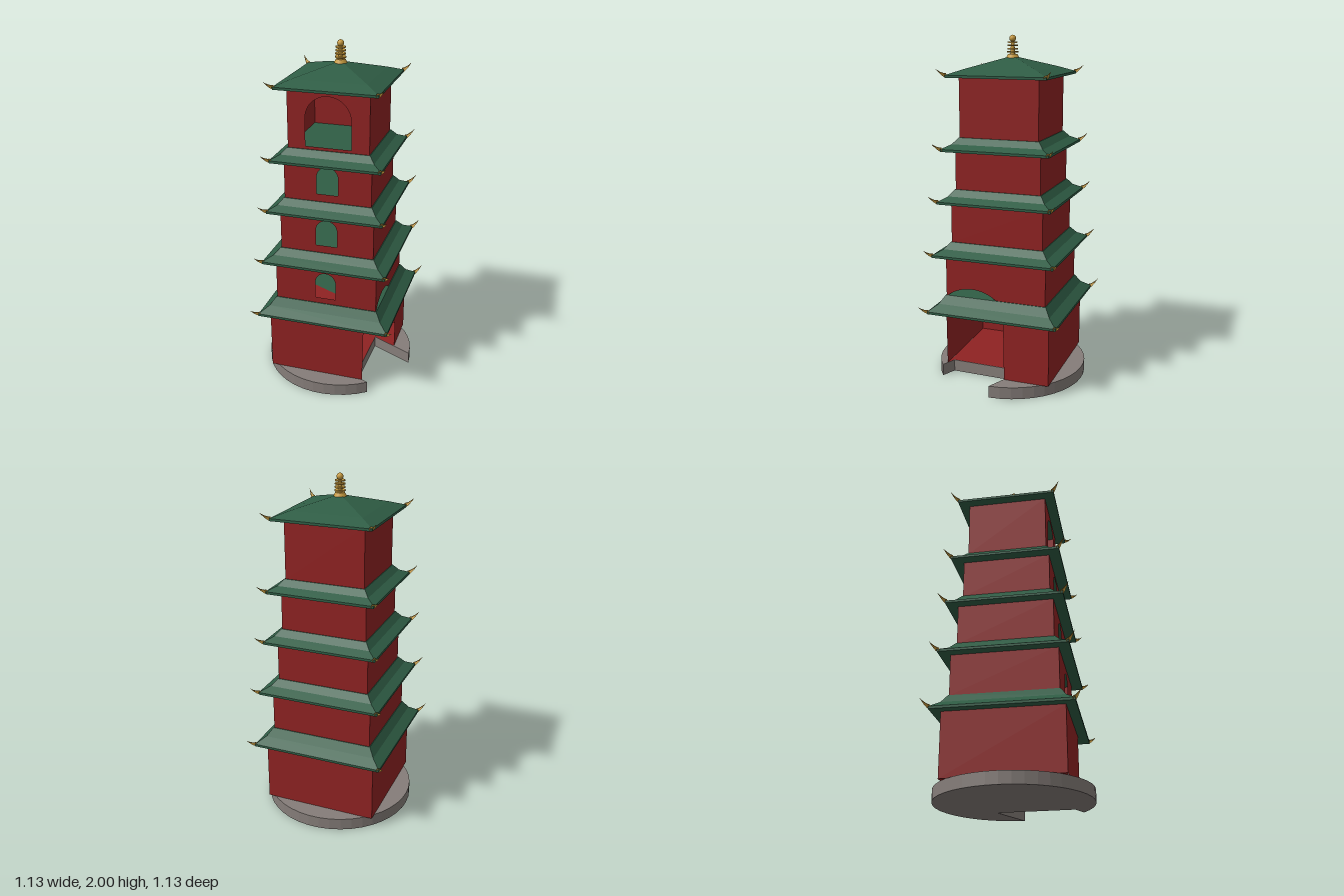
import * as THREE from 'three';

const TURN = 0.4425; // the tower stands turned on its base
const S = Math.sin(TURN), C = Math.cos(TURN);

function material(name, color, open) {
  const m = new THREE.MeshStandardMaterial({ color });
  m.name = name;
  if (open) m.side = THREE.DoubleSide;
  return m;
}

// Storeys: corner radius, bottom, top, window half width, window sill
const STOREYS = [
  { r: 0.47, y0: 0.07, y1: 0.43 },
  { r: 0.423, y0: 0.53, y1: 0.775, win: 0.06, sill: 0.565, head: 0.725 },
  { r: 0.385, y0: 0.84, y1: 1.075, win: 0.062, sill: 0.89, head: 1.045 },
  { r: 0.355, y0: 1.145, y1: 1.375, win: 0.062, sill: 1.195, head: 1.355 },
  { r: 0.327, y0: 1.44, y1: 1.78, win: 0.13, sill: 1.46, head: 1.745 },
];
// Roofs: eave corner radius, underside, top
const ROOFS = [
  { r: 0.547, y0: 0.43, y1: 0.53 },
  { r: 0.51, y0: 0.765, y1: 0.845 },
  { r: 0.472, y0: 1.073, y1: 1.15 },
  { r: 0.446, y0: 1.37, y1: 1.443 },
  { r: 0.41, y0: 1.775, y1: 1.885 },
];

export function createModel() {
  const red = material('red walls', 0x8f2222, true);
  const green = material('green roof tiles', 0x2f5d45);
  const gold = material('gold ornaments', 0xc79a3e);
  const stone = material('grey stone', 0x857d79);

  const model = new THREE.Group();
  model.name = 'pagoda';
  const tower = new THREE.Group();
  tower.name = 'tower';
  tower.rotation.y = TURN;
  model.add(tower);

  const add = (parent, name, geometry, mat) => {
    const mesh = new THREE.Mesh(geometry, mat);
    mesh.name = name;
    parent.add(mesh);
    return mesh;
  };
  const flat = (g) => {
    const out = g.toNonIndexed();
    out.computeVertexNormals();
    return out;
  };
  // Flat outline of (x, z) points laid level
  const levelShape = (pts) =>
    new THREE.Shape(pts.map(([x, z]) => new THREE.Vector2(x, -z)));

  // Round stone base with an entrance notch
  const a0 = Math.asin(0.2 / 0.44);
  const rim = [];
  for (let i = 0; i <= 36; i++) {
    const a = a0 + (i / 36) * (2 * Math.PI - 2 * a0);
    rim.push([0.44 * Math.cos(a), -0.44 * Math.sin(a)]);
  }
  rim.push([0.3, 0.2], [0.12, -0.2]);
  const base = new THREE.ExtrudeGeometry(levelShape(rim), { depth: 0.07, bevelEnabled: false });
  base.rotateX(-Math.PI / 2);
  add(model, 'base', base, stone);

  // Level red floors around the entrance passage
  const floor = (name, pts, y) => {
    const g = new THREE.ShapeGeometry(levelShape(pts));
    g.rotateX(-Math.PI / 2);
    g.translate(0, y, 0);
    add(model, name, g, red);
  };
  floor('groundFloor', [[0.3, 0.2], [0.35, 0.2], [-0.157, 0.44], [-0.44, -0.157],
    [0.157, -0.44], [0.27, -0.2], [0.12, -0.2]], 0.0715);
  floor('upperFloorFront', [[0.37, 0.15], [-0.142, 0.39], [-0.25, 0.15]], 0.532);
  floor('upperFloorBack', [[-0.37, -0.15], [0.142, -0.39], [0.25, -0.15]], 0.532);

  // Plain wall with an optional arched window
  function plainWall(half, s, windowed) {
    const shape = new THREE.Shape();
    shape.moveTo(-half, s.y0).lineTo(half, s.y0).lineTo(half, s.y1).lineTo(-half, s.y1);
    if (windowed) {
      const hole = new THREE.Path();
      hole.moveTo(-s.win, s.sill).lineTo(s.win, s.sill).lineTo(s.win, s.head - s.win);
      hole.absarc(0, s.head - s.win, s.win, 0, Math.PI, false);
      shape.holes.push(hole);
    }
    return new THREE.ShapeGeometry(shape, 10);
  }

  // Wall whose lower edge is cut by the arched passage; depth(x) is the distance off its axis
  function archedWall(half, s, depth) {
    const g = new THREE.PlaneGeometry(half * 2, 1, 140, 1);
    const p = g.attributes.position;
    for (let i = 0; i < p.count; i++) {
      const d = depth(p.getX(i));
      const cut = Math.abs(d) < 0.2 ? 0.38 + Math.sqrt(0.04 - d * d) : s.y0;
      p.setY(i, p.getY(i) > 0 ? s.y1 : Math.min(s.y1, Math.max(s.y0, cut)));
    }
    return g;
  }

  STOREYS.forEach((s, n) => {
    const half = s.r / Math.SQRT2;
    const storey = new THREE.Group();
    storey.name = 'storey' + (n + 1);
    tower.add(storey);
    ['frontWall', 'rightWall', 'backWall', 'leftWall'].forEach((name, k) => {
      let g;
      if (k === 0 && n === 0) g = archedWall(half, s, (x) => C * half - S * x);
      else if (k === 1 && n < 2) g = archedWall(half, s, (x) => -S * half - C * x);
      else g = plainWall(half, s, k === 0 && s.win);
      g.translate(0, 0, half);
      g.rotateY((k * Math.PI) / 2);
      add(storey, name, g, red);
    });
  });

  // Curved horn pointing outward along a roof corner
  const horn = new THREE.ConeGeometry(0.013, 1, 8, 5);
  const hp = horn.attributes.position;
  for (let i = 0; i < hp.count; i++) {
    const t = hp.getY(i) + 0.5;
    hp.setXYZ(i, hp.getX(i), hp.getZ(i) + 0.038 * Math.pow(t, 1.5), -0.008 + 0.06 * t);
  }
  // the axis swap keeps the corner order
  horn.computeVertexNormals();

  ROOFS.forEach((f, n) => {
    const roof = new THREE.Group();
    roof.name = 'roof' + (n + 1);
    tower.add(roof);
    const last = n === ROOFS.length - 1;
    const h = f.y1 - f.y0;
    const profile = [[0, f.y0], [f.r, f.y0], [f.r, f.y0 + 0.014]];
    if (last) {
      profile.push([f.r * 0.72, f.y0 + h * 0.4], [0, f.y1]);
    } else {
      const top = STOREYS[n + 1].r + 0.006;
      profile.push([top + (f.r - top) * 0.38, f.y0 + h * 0.52], [top, f.y1], [0, f.y1]);
    }
    const g = new THREE.LatheGeometry(profile.map(([x, y]) => new THREE.Vector2(x, y)), 4, Math.PI / 4);
    add(roof, 'tiles', flat(g), green);
    for (let k = 0; k < 4; k++) {
      const m = add(roof, 'cornerHorn', horn, gold);
      const a = Math.PI / 4 + (k * Math.PI) / 2;
      m.position.set(f.r * Math.sin(a), f.y0 + 0.012, f.r * Math.cos(a));
      m.rotation.y = a;
    }
  });

  // Finial: foot, rod, stacked rings and ball
  const finial = new THREE.Group();
  finial.name = 'finial';
  tower.add(finial);
  const piece = (name, g, y) => { add(finial, name, g, gold).position.y = y; };
  piece('foot', new THREE.CylinderGeometry(0.026, 0.037, 0.02, 16), 1.885);
  piece('rod', new THREE.CylinderGeometry(0.01, 0.013, 0.1, 12), 1.93);
  for (let i = 0; i < 4; i++) {
    piece('ring', new THREE.CylinderGeometry(0.031 - i * 0.001, 0.031 - i * 0.001, 0.007, 16), 1.906 + i * 0.018);
  }
  piece('ball', new THREE.SphereGeometry(0.019, 16, 10), 1.981);

  return model;
}
